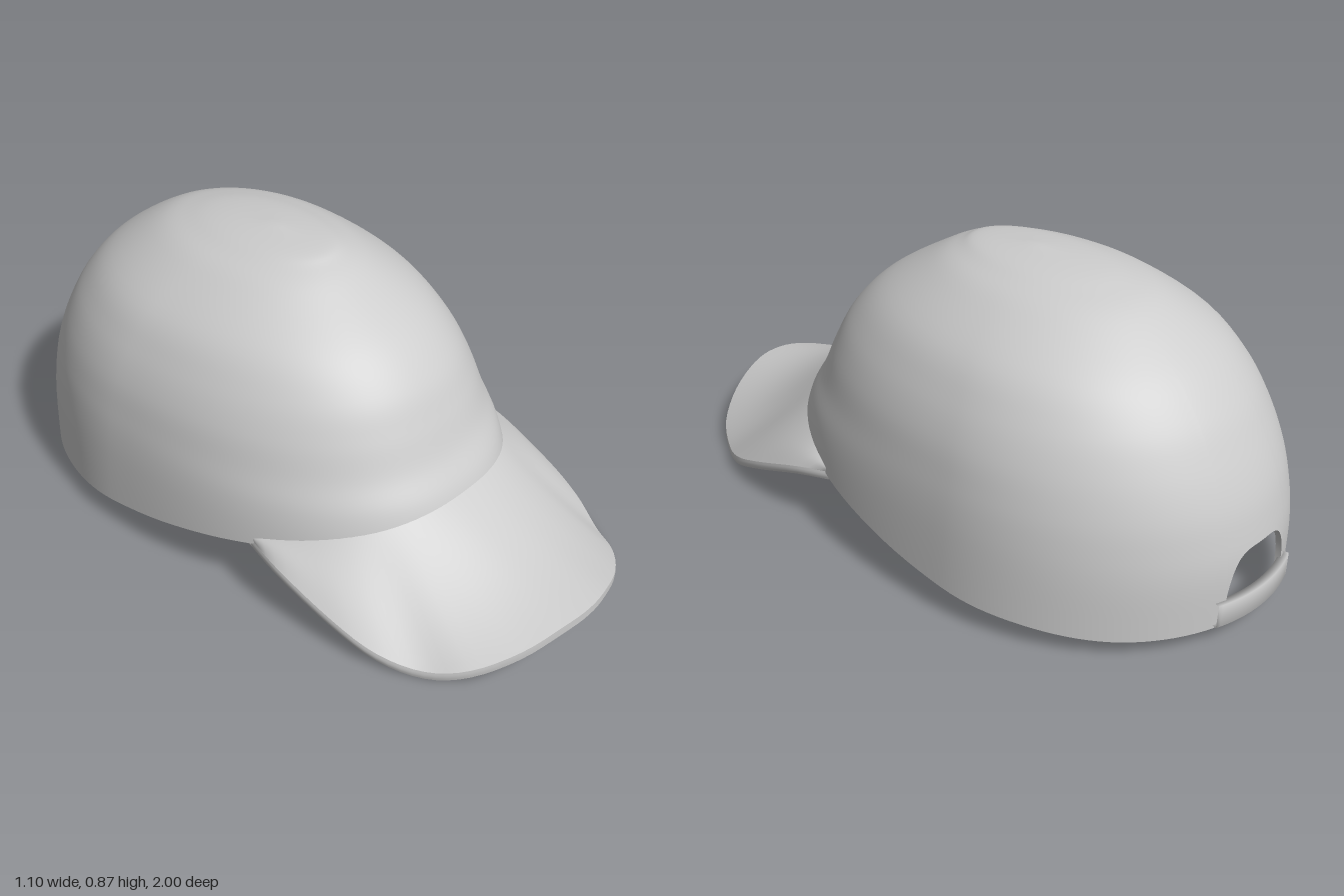
import * as THREE from 'three';
import { mergeVertices } from 'three/addons/utils/BufferGeometryUtils.js';

const fabric = new THREE.MeshStandardMaterial({ color: 0xcccccc, side: THREE.DoubleSide });
fabric.name = 'light grey fabric';

// Crown levels: height, half width, front z, back z, centre z
const LEVELS = [
  [0.03, 0.555, 0.60, -0.985, -0.33],
  [0.20, 0.545, 0.585, -0.99, -0.33],
  [0.31, 0.535, 0.555, -0.975, -0.33],
  [0.40, 0.52, 0.50, -0.95, -0.33],
  [0.50, 0.495, 0.455, -0.905, -0.32],
  [0.60, 0.45, 0.40, -0.845, -0.31],
  [0.70, 0.38, 0.30, -0.75, -0.29],
  [0.80, 0.25, 0.14, -0.60, -0.25],
  [0.84, 0.165, 0.06, -0.48, -0.22],
  [0.86, 0.10, 0.0, -0.36, -0.19],
  [0.873, 0, -0.18, -0.18, -0.18],
];
const spline = (pts) => new THREE.CatmullRomCurve3(pts.map((p) => new THREE.Vector3(...p)), false, 'catmullrom', 0.5);
const sideCurve = spline(LEVELS.map((l) => [l[1], l[0], l[2]]));
const backCurve = spline(LEVELS.map((l) => [l[3], l[0], l[4]]));

// Curve parameter at a given height
function tAt(y) {
  let lo = 0, hi = 1;
  for (let i = 0; i < 30; i++) {
    const mid = (lo + hi) / 2;
    if (sideCurve.getPoint(mid).y < y) lo = mid; else hi = mid;
  }
  return lo;
}

// Point on the crown; angle 0 is the front, inset shrinks it inward
function crownPoint(a, t, inset = 0) {
  const s = sideCurve.getPoint(t), b = backCurve.getPoint(t);
  const sin = Math.sin(a), cos = Math.cos(a);
  const n = cos > 0 ? 2 + 0.4 * (1 - t) : 2;
  const r = (Math.abs(sin) ** n + Math.abs(cos) ** n) ** (-1 / n) * (1 - inset / 0.55);
  const reach = cos > 0 ? s.z - b.z : b.z - b.x;
  return new THREE.Vector3(s.x * r * sin, s.y - inset * t * t, b.z + reach * r * cos);
}

// Surface from a grid of points
function surface(name, nu, nv, fn) {
  const pos = [], idx = [];
  for (let i = 0; i <= nu; i++) for (let j = 0; j <= nv; j++) pos.push(...fn(i, j).toArray());
  for (let i = 0; i < nu; i++) {
    for (let j = 0; j < nv; j++) {
      const p = i * (nv + 1) + j, q = p + nv + 1;
      idx.push(p, q, p + 1, q, q + 1, p + 1);
    }
  }
  let geo = new THREE.BufferGeometry();
  geo.setAttribute('position', new THREE.Float32BufferAttribute(pos, 3));
  geo.setIndex(idx);
  geo = mergeVertices(geo, 1e-5);
  geo.computeVertexNormals();
  const mesh = new THREE.Mesh(geo, fabric);
  mesh.name = name;
  return mesh;
}

// Lower edge of the crown, with an arched opening at the back
const HOLE = 0.24;
const rimCurve = new THREE.SplineCurve([
  [-0.99, 0.05], [-0.8, 0.05], [-0.6, 0.065], [-0.4, 0.08], [-0.2, 0.11],
  [0, 0.15], [0.2, 0.19], [0.4, 0.23], [0.6, 0.275],
].map((p) => new THREE.Vector2(...p)));
function rimHeight(a) {
  const b = (Math.PI - Math.abs(a)) / HOLE;
  if (b <= 1.0001) return 0.10 + 0.16 * Math.sqrt(Math.max(0, 1 - b ** 4));
  const z = crownPoint(a, 0.12).z;
  let lo = 0, hi = 1;
  for (let i = 0; i < 24; i++) {
    const mid = (lo + hi) / 2;
    if (rimCurve.getPoint(mid).x < z) lo = mid; else hi = mid;
  }
  return rimCurve.getPoint(lo).y;
}

function makeCrown() {
  const crown = new THREE.Group();
  crown.name = 'crown';
  // Columns are denser along the edge of the opening
  const half = [];
  for (let i = 0; i <= 14; i++) half.push(HOLE * Math.sin((Math.PI / 2) * i / 14));
  for (let i = 0; i <= 60; i++) half.push(HOLE + 0.004 + (Math.PI - HOLE - 0.004) * i / 60);
  const angles = [
    ...half.map((b) => b - Math.PI),
    ...half.slice(0, -1).reverse().map((b) => Math.PI - b),
  ];
  const start = angles.map((a) => tAt(rimHeight(a)));
  const n = angles.length - 1, rows = 48;
  const wall = (inset) => (i, j) => crownPoint(angles[i], start[i] + (1 - start[i]) * j / rows, inset);
  crown.add(surface('crownOuter', n, rows, wall(0)));
  crown.add(surface('crownLining', n, rows, wall(0.014)));
  crown.add(surface('crownHem', n, 1, (i, j) => crownPoint(angles[i], start[i], 0.014 * j)));
  // Sweatband inside the front
  crown.add(surface('sweatband', 60, 3, (i, j) => {
    const a = -1.5 + 3 * i / 60;
    return crownPoint(a, tAt(rimHeight(a) - 0.008 + 0.022 * j), [0.014, 0.026, 0.026, 0.014][j]);
  }));
  return crown;
}

// Closed band across the back opening
function makeStrap() {
  const corners = [[0.06, -0.012], [0.13, -0.012], [0.13, 0.008], [0.06, 0.008], [0.06, -0.012]];
  return surface('backStrap', 24, 4, (i, j) => {
    const [y, inset] = corners[j];
    return crownPoint(Math.PI - 0.3 + 0.6 * i / 24, tAt(y), inset);
  });
}

function makeBrim() {
  const brim = new THREE.Group();
  brim.name = 'brim';
  const side = [
    [0.465, 0.20, 0.14], [0.495, 0.175, 0.3], [0.487, 0.105, 0.5], [0.46, 0.055, 0.64],
    [0.40, 0.027, 0.76], [0.33, 0.05, 0.86], [0.22, 0.092, 0.94], [0.1, 0.13, 0.985],
  ];
  const edge = spline([
    ...side.map(([x, y, z]) => [-x, y, z]), [0, 0.14, 1], ...side.slice().reverse(),
  ]);
  // Angle where the seam with the crown ends
  let end = 0;
  while (crownPoint(end, tAt(0.2)).z > 0.14) end += 0.005;
  const NU = 64, NV = 16;
  const point = (i, v, drop) => {
    const k = 2 * i / NU - 1, a = k * end;
    const z0 = crownPoint(a, tAt(0.28)).z;
    const inner = crownPoint(a, tAt(0.2 + (z0 - 0.14) * 0.25), 0.006);
    const p = inner.lerp(edge.getPoint(i / NU), v);
    // Hollow along the middle, slight fullness at the sides
    p.y += Math.sin(Math.PI * v) * (0.02 - 0.05 * Math.cos(k * Math.PI / 2) ** 2) * (1 - k ** 4);
    p.y -= drop;
    return p;
  };
  const THICK = 0.026;
  brim.add(surface('brimTop', NU, NV, (i, j) => point(i, j / NV, 0)));
  brim.add(surface('brimUnderside', NU, NV, (i, j) => point(i, j / NV, THICK)));
  brim.add(surface('brimEdge', NU, 4, (i, j) => {
    const p = point(i, 1, THICK * j / 4);
    const bulge = 1 + 0.006 * Math.sin(Math.PI * j / 4);
    p.x *= bulge;
    return p;
  }));
  brim.add(surface('brimInnerEdge', NU, 1, (i, j) => point(i, 0, THICK * j)));
  return brim;
}

export function createModel() {
  const cap = new THREE.Group();
  cap.name = 'cap';
  cap.add(makeCrown(), makeStrap(), makeBrim());
  return cap;
}
